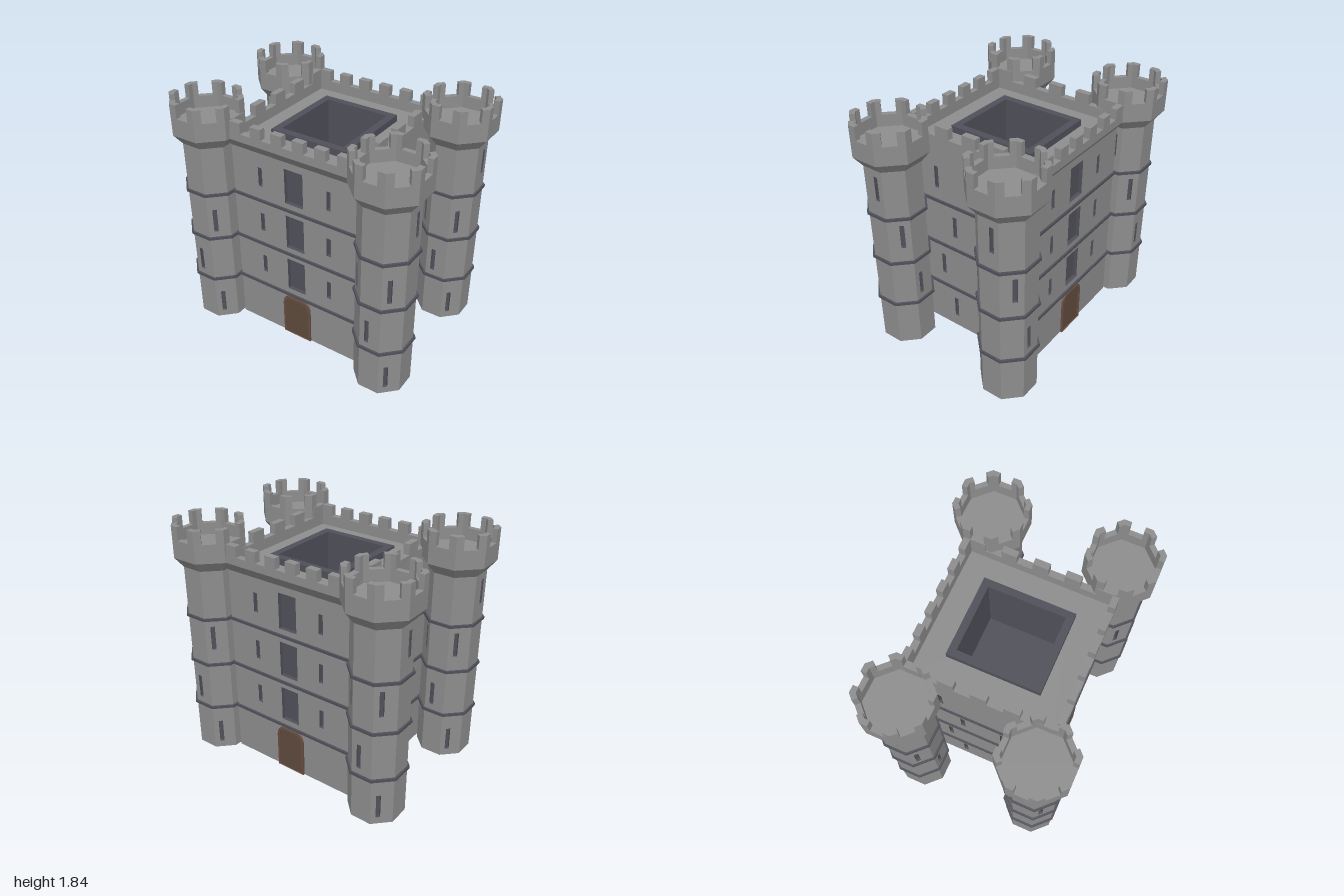
import * as THREE from 'three';

const mat = (color) => new THREE.MeshStandardMaterial({ color, flatShading: true, side: THREE.DoubleSide });
const stone = mat(0x8d8d8d), dark = mat(0x50505a), frameWood = mat(0x694f42), doorWood = mat(0x5e4a3c);

function add(parent, name, geometry, material = stone) {
  const mesh = new THREE.Mesh(geometry, material);
  mesh.name = name;
  parent.add(mesh);
  return mesh;
}

function box(parent, name, w, h, d, x, y, z) {
  add(parent, name, new THREE.BoxGeometry(w, h, d)).position.set(x, y, z);
}

// Box without its front face: a niche opening toward +z
function niche(w, h, d) {
  const g = new THREE.BoxGeometry(w, h, d).translate(0, 0, -d / 2);
  const index = Array.from(g.index.array);
  index.splice(24, 6);
  g.setIndex(index);
  return g;
}

const rect = (w, d) => [[-w, -d], [w, -d], [w, d], [-w, d]];
const points = (list) => list.map(([x, y]) => new THREE.Vector2(x, y));

// Horizontal slab from an outline, with an optional hole
function slab(outline, hole, y, h) {
  const shape = new THREE.Shape(points(outline));
  if (hole) shape.holes.push(new THREE.Path(points(hole)));
  return new THREE.ExtrudeGeometry(shape, { depth: h, bevelEnabled: false }).rotateX(-Math.PI / 2).translate(0, y, 0);
}

// Flat wall facing +z; slots are [centre x, bottom, width, height]
function panel(w, h, slots, depth) {
  const group = new THREE.Group();
  group.name = 'wall';
  const shape = new THREE.Shape(points([[-w / 2, 0], [w / 2, 0], [w / 2, h], [-w / 2, h]]));
  for (const [x, y, sw, sh] of slots) {
    const corners = rect(sw / 2, sh / 2).map(([a, b]) => [x + a, y + sh / 2 + b]);
    shape.holes.push(new THREE.Path(points(corners)));
    add(group, 'window', niche(sw, sh, depth), dark).position.set(x, y + sh / 2, 0);
  }
  add(group, 'wallFace', new THREE.ShapeGeometry(shape));
  return group;
}

const COURSES = [0.371, 0.752, 1.13];
const COURSE_H = 0.02;

// Octagon with flats facing the axes, a = centre to flat
function octagon(a) {
  const r = a / Math.cos(Math.PI / 8);
  return Array.from({ length: 8 }, (_, i) => {
    const t = Math.PI / 8 + i * Math.PI / 4;
    return [r * Math.cos(t), r * Math.sin(t)];
  });
}

function createTower() {
  const tower = new THREE.Group();
  tower.name = 'tower';
  const a = 0.1945, top = 0.254, inner = 0.214, side = 2 * a * Math.tan(Math.PI / 8);
  const slot = (x, y) => [x, y, 0.033, 0.19];

  // Eight shaft faces; the slit pattern repeats after half a turn
  for (let i = 0; i < 8; i++) {
    const slots = [
      [slot(-0.025, 0.44)],
      [slot(-0.026, 0.055), slot(-0.026, i < 4 ? 0.82 : 0.89)],
      [slot(0.025, 1.275)],
      [i < 4 ? slot(0.02, 0.89) : slot(-0.026, 0.82)],
    ][i % 4];
    const face = panel(side, 1.52, slots, 0.02);
    face.position.set(a * Math.sin(i * Math.PI / 4), 0, a * Math.cos(i * Math.PI / 4));
    face.rotation.y = i * Math.PI / 4;
    tower.add(face);
  }
  add(tower, 'towerBase', slab(octagon(a), null, 0, 0.01));
  for (const y of COURSES) add(tower, 'stringCourse', slab(octagon(a + 0.015), octagon(a - 0.005), y, COURSE_H), dark);

  // Flared head, parapet and floor
  const k = 1 / Math.cos(Math.PI / 8);
  add(tower, 'corbel', new THREE.CylinderGeometry(top * k, a * k, 0.08, 8, 1, true).rotateY(Math.PI / 8)).position.y = 1.56;
  add(tower, 'parapet', slab(octagon(top), octagon(inner), 1.6, 0.14));
  add(tower, 'towerFloor', slab(octagon(inner), null, 1.6, 0.05));

  // Merlons folded around the corners
  const t = top * Math.tan(Math.PI / 8), ti = inner * Math.tan(Math.PI / 8), c = Math.SQRT1_2;
  const reach = t - 0.055;
  const onFlat = (d, s) => [d, s];
  const onDiagonal = (d, s) => [(d - s) * c, (d + s) * c];
  const merlon = slab([onFlat(inner, reach), onFlat(top, reach), onFlat(top, t),
    onDiagonal(top, -reach), onDiagonal(inner, -reach), onFlat(inner, ti)], null, 1.74, 0.1);
  for (let i = 0; i < 8; i++) add(tower, 'merlon', merlon).rotation.y = i * Math.PI / 4;
  return tower;
}

// Arched outline with rounded shoulders
function arch(w, h) {
  const s = new THREE.Shape();
  s.moveTo(-w, 0).lineTo(w, 0).lineTo(w, h - 0.09);
  s.quadraticCurveTo(w, h, w - 0.065, h);
  s.lineTo(-w + 0.065, h);
  s.quadraticCurveTo(-w, h, -w, h - 0.09);
  return s;
}

const HX = 0.535, HZ = 0.515;

// Front of the keep: windows, door, overhanging parapet
function createFacade() {
  const facade = new THREE.Group();
  facade.name = 'facade';
  const slots = [];
  for (const y of [0.432, 0.81, 1.19]) {
    slots.push([0, y, 0.155, 0.275]);
    for (const s of [-1, 1]) slots.push([s * 0.29, y + 0.065, 0.035, 0.15]);
  }
  const wall = panel(2 * HX, 1.58, slots, 0.03);
  wall.position.z = HZ;
  facade.add(wall);

  const frame = arch(0.122, 0.358);
  frame.holes.push(arch(0.107, 0.34));
  add(facade, 'doorFrame', new THREE.ExtrudeGeometry(frame, { depth: 0.035, bevelEnabled: false }), frameWood).position.z = HZ - 0.02;
  add(facade, 'door', new THREE.ExtrudeGeometry(arch(0.107, 0.34), { depth: 0.025, bevelEnabled: false }), doorWood).position.z = HZ - 0.02;

  const profile = new THREE.Shape(points([[HZ, 1.52], [0.575, 1.6], [0.575, 1.66], [0.525, 1.66], [0.525, 1.57], [HZ, 1.57]]));
  add(facade, 'parapet', new THREE.ExtrudeGeometry(profile, { depth: 2 * HX, bevelEnabled: false })
    .rotateY(-Math.PI / 2).translate(HX, 0, 0));
  for (let i = 0; i < 6; i++) box(facade, 'merlon', 0.088, 0.08, 0.05, (i - 2.5) * 0.176, 1.7, 0.55);
  return facade;
}

// Flank of the keep, built facing +z and turned into place
function createFlank() {
  const flank = new THREE.Group();
  flank.name = 'flank';
  const slots = [];
  for (const [x, y] of [[0.1825, 0.1], [0.285, 0.485], [0.158, 0.865], [0.305, 1.245]])
    for (const s of [-1, 1]) slots.push([s * x, y, 0.035, 0.175]);
  const wall = panel(2 * HZ, 1.58, slots, 0.02);
  wall.position.z = HX;
  flank.add(wall);
  box(flank, 'parapet', 1.05, 0.08, 0.05, 0, 1.62, HX - 0.025);
  for (let i = -2; i <= 2; i++) box(flank, 'merlon', 0.115, 0.08, 0.05, i * 0.235, 1.7, HX - 0.025);
  return flank;
}

function createKeep() {
  const keep = new THREE.Group();
  keep.name = 'keep';
  for (const turn of [0, Math.PI]) {
    const facade = createFacade(), flank = createFlank();
    facade.rotation.y = turn;
    flank.rotation.y = turn + Math.PI / 2;
    keep.add(facade, flank);
  }
  for (const y of COURSES)
    add(keep, 'stringCourse', slab(rect(HX + 0.016, HZ + 0.016), rect(HX + 0.002, HZ + 0.002), y, COURSE_H), dark);

  // Roof around a sunken light well
  add(keep, 'roof', slab(rect(0.53, 0.525), rect(0.26, 0.295), 1.55, 0.03));
  add(keep, 'wellCurb', slab(rect(0.31, 0.343), rect(0.255, 0.288), 1.57, 0.06), dark);
  add(keep, 'lightWell', niche(0.512, 0.578, 0.5).rotateX(-Math.PI / 2), dark).position.y = 1.6;
  keep.position.z = -0.015;
  return keep;
}

export function createModel() {
  const castle = new THREE.Group();
  castle.name = 'castle';
  castle.add(createKeep());
  for (const x of [-0.746, 0.746]) for (const z of [-0.49, 0.488]) {
    const tower = createTower();
    tower.position.set(x, 0, z);
    castle.add(tower);
  }
  return castle;
}
